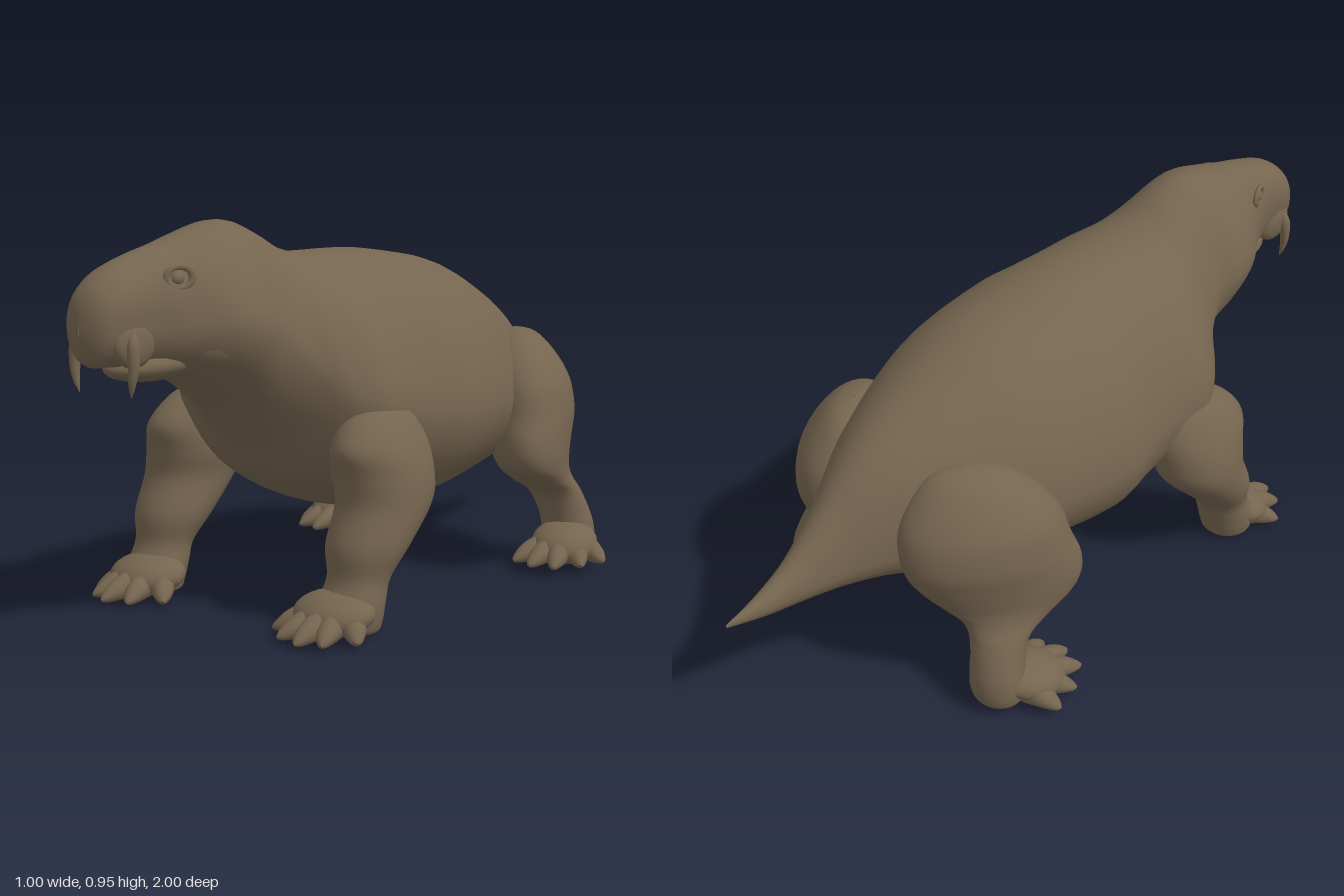
import * as THREE from 'three';

const hide = new THREE.MeshStandardMaterial({ color: 0x75654f });
hide.name = 'brown hide';

// Smooth skin over rings; rows are interpolated, ring(row, cos, sin) gives a point.
function loft(rows, ring, steps = 6, segs = 36) {
  const pos = [], idx = [];
  const last = rows.length - 1, total = last * steps;
  for (let i = 0; i <= total; i++) {
    const k = Math.min(Math.floor(i / steps), last - 1), t = i / steps - k;
    const p = [k - 1, k, k + 1, k + 2].map(n => rows[Math.max(0, Math.min(last, n))]);
    const row = p[1].map((b, n) => {
      const a = p[0][n], c = p[2][n], d = p[3][n];
      return b + 0.5 * t * (c - a + t * (2 * a - 5 * b + 4 * c - d + t * (3 * (b - c) + d - a)));
    });
    for (let j = 0; j < segs; j++) {
      const a = (j / segs) * Math.PI * 2;
      pos.push(...ring(row, Math.cos(a), Math.sin(a)));
      if (i < total) {
        const q = i * segs + j, r = i * segs + (j + 1) % segs;
        idx.push(q, r, q + segs, r, r + segs, q + segs);
      }
    }
  }
  const g = new THREE.BufferGeometry();
  g.setAttribute('position', new THREE.Float32BufferAttribute(pos, 3));
  g.setIndex(idx);
  g.computeVertexNormals();
  return g;
}

// Row: y, centre x, centre z, radius x, radius z, outward lean of the front side
const limbRing = ([y, cx, cz, rx, rz, lean = 0], c, s) =>
  [cx + rx * c + lean * rz * s, y, cz + rz * s];
// Row: z, top, bottom, height of widest point, half width, narrowing of the upper half
const bodyRing = ([z, top, bottom, mid, w, pinch], c, s) =>
  [w * c * (1 - pinch * Math.max(s, 0)), mid + s * (s > 0 ? top - mid : mid - bottom), z];

function ellipsoid(x, y, z, rx, ry, rz, turnX = 0, turnY = 0) {
  return new THREE.SphereGeometry(1, 24, 16).scale(rx, ry, rz)
    .rotateX(turnX).rotateY(turnY).translate(x, y, z);
}

function mirror(geometry) {
  const g = geometry.clone().scale(-1, 1, 1);
  const a = g.index.array;
  for (let i = 0; i < a.length; i += 3) [a[i], a[i + 1]] = [a[i + 1], a[i]];
  g.computeVertexNormals();
  return g;
}

// Blunt toes fanning from a base point to the given tips
function toes(bx, bz, y, tips) {
  return tips.map(([tx, tz]) => {
    const len = Math.hypot(tx - bx, tz - bz);
    const rows = [[0, 0.045, -0.03, 0, 0.015, 0], [0.3, 0.046, -0.032, 0, 0.029, 0],
      [0.6, 0.034, -0.03, 0, 0.03, 0], [0.8, 0.017, -0.03, -0.006, 0.024, 0],
      [0.94, -0.004, -0.028, -0.016, 0.013, 0], [1, -0.018, -0.022, -0.02, 0.001, 0],
    ].map(([t, ...r]) => [t * len, ...r]);
    return loft(rows, bodyRing, 4, 14)
      .rotateY(Math.atan2(tx - bx, tz - bz)).translate(bx, y, bz);
  });
}

export function createModel() {
  const model = new THREE.Group();
  model.name = 'animal';
  const add = (name, g, parent = model) => {
    const m = new THREE.Mesh(g, hide);
    m.name = name;
    parent.add(m);
  };
  const addPair = (name, parts) => {
    for (const side of ['left', 'right']) {
      const group = new THREE.Group();
      group.name = side + name;
      for (const [part, g] of parts) add(part, side === 'left' ? g : mirror(g), group);
      model.add(group);
    }
  };

  // Tail, barrel body, neck and head in one skin
  add('body', loft([
    [-1, 0.38, 0.37, 0.375, 0.001, 0],
    [-0.9, 0.405, 0.345, 0.375, 0.024, 0],
    [-0.8, 0.455, 0.333, 0.385, 0.048, 0.05],
    [-0.7, 0.545, 0.325, 0.4, 0.085, 0.1],
    [-0.6, 0.64, 0.312, 0.42, 0.142, 0.1],
    [-0.5, 0.705, 0.28, 0.44, 0.205, 0.12],
    [-0.35, 0.775, 0.245, 0.46, 0.275, 0.12],
    [-0.2, 0.83, 0.222, 0.47, 0.325, 0.12],
    [0, 0.86, 0.2, 0.47, 0.355, 0.13],
    [0.12, 0.868, 0.208, 0.48, 0.335, 0.13],
    [0.22, 0.868, 0.23, 0.5, 0.33, 0.15],
    [0.32, 0.87, 0.27, 0.52, 0.335, 0.2],
    [0.4, 0.89, 0.33, 0.55, 0.285, 0.24],
    [0.46, 0.922, 0.405, 0.62, 0.222, 0.24],
    [0.53, 0.95, 0.47, 0.69, 0.19, 0.24],
    [0.6, 0.952, 0.53, 0.72, 0.196, 0.25],
    [0.68, 0.932, 0.58, 0.73, 0.175, 0.2],
    [0.76, 0.91, 0.615, 0.73, 0.122, 0],
    [0.84, 0.89, 0.635, 0.74, 0.088, -0.22],
    [0.92, 0.862, 0.645, 0.74, 0.082, -0.22],
    [0.97, 0.825, 0.65, 0.735, 0.066, -0.14],
    [0.992, 0.785, 0.68, 0.73, 0.038, 0],
    [1, 0.74, 0.72, 0.73, 0.001, 0],
  ], bodyRing, 5, 48));

  // Lower jaw tucked under the snout
  add('lowerJaw', ellipsoid(0, 0.643, 0.77, 0.08, 0.04, 0.145, 0.05));

  // Tusks, eyes and cheeks
  addPair('Face', [
    ['lip', ellipsoid(0.064, 0.7, 0.9, 0.026, 0.055, 0.06)],
    ['tusk', loft([
      [0.73, 0.082, 0.92, 0.005, 0.006], [0.7, 0.088, 0.924, 0.014, 0.016],
      [0.65, 0.091, 0.928, 0.012, 0.013], [0.61, 0.086, 0.929, 0.007, 0.008],
      [0.585, 0.08, 0.926, 0.001, 0.001]], limbRing, 5, 16)],
    ['eye', ellipsoid(0.088, 0.835, 0.785, 0.012, 0.016, 0.018)],
    ['eyelid', new THREE.TorusGeometry(0.024, 0.007, 10, 24).scale(1.3, 1, 1)
      .rotateY(Math.PI / 2 - 0.4).translate(0.093, 0.837, 0.785)],
    ['cheek', ellipsoid(0.104, 0.692, 0.635, 0.068, 0.075, 0.13, 0.1, -0.3)],
  ]);

  // Front legs
  addPair('FrontLeg', [
    ['leg', loft([
      [0.52, 0.285, 0.31, 0.001, 0.001], [0.5, 0.285, 0.312, 0.06, 0.085],
      [0.43, 0.296, 0.325, 0.095, 0.142], [0.36, 0.302, 0.32, 0.113, 0.138],
      [0.29, 0.312, 0.33, 0.11, 0.125], [0.2, 0.312, 0.392, 0.1, 0.1],
      [0.13, 0.313, 0.428, 0.078, 0.07], [0.08, 0.313, 0.45, 0.08, 0.072],
      [0.03, 0.315, 0.46, 0.075, 0.07], [0.006, 0.315, 0.46, 0.06, 0.058],
      [0, 0.315, 0.46, 0.001, 0.001]], limbRing)],
    ['paw', ellipsoid(0.3, 0.055, 0.505, 0.105, 0.049, 0.085, 0.2)],
    ...toes(0.3, 0.455, 0.036,
      [[0.175, 0.58], [0.24, 0.64], [0.308, 0.66], [0.365, 0.635], [0.418, 0.57]])
      .map(g => ['toe', g]),
  ]);

  // Hind legs: thigh flowing through the knee into the heel, feet splayed outward
  addPair('HindLeg', [
    ['leg', loft([
      [0.635, 0.2, -0.42, 0.001, 0.001, 0.35], [0.62, 0.205, -0.42, 0.055, 0.075, 0.35],
      [0.57, 0.22, -0.415, 0.1, 0.135, 0.35], [0.5, 0.24, -0.415, 0.126, 0.18, 0.35],
      [0.42, 0.255, -0.41, 0.13, 0.195, 0.35], [0.36, 0.265, -0.393, 0.125, 0.197, 0.38],
      [0.31, 0.277, -0.378, 0.116, 0.183, 0.38], [0.27, 0.29, -0.375, 0.103, 0.155, 0.35],
      [0.235, 0.304, -0.395, 0.088, 0.11, 0.25], [0.2, 0.32, -0.43, 0.075, 0.075, 0.1],
      [0.15, 0.336, -0.452, 0.07, 0.068, 0], [0.1, 0.345, -0.464, 0.072, 0.068, 0],
      [0.05, 0.348, -0.466, 0.072, 0.066, 0], [0.024, 0.35, -0.465, 0.055, 0.052, 0],
      [0.018, 0.35, -0.465, 0.001, 0.001, 0]], limbRing)],
    ['paw', ellipsoid(0.378, 0.066, -0.395, 0.088, 0.05, 0.1, 0.2, 0.5)],
    ...toes(0.36, -0.445, 0.048,
      [[0.3, -0.26], [0.365, -0.235], [0.43, -0.25], [0.477, -0.315], [0.5, -0.395]])
      .map(g => ['toe', g]),
  ]);

  return model;
}
